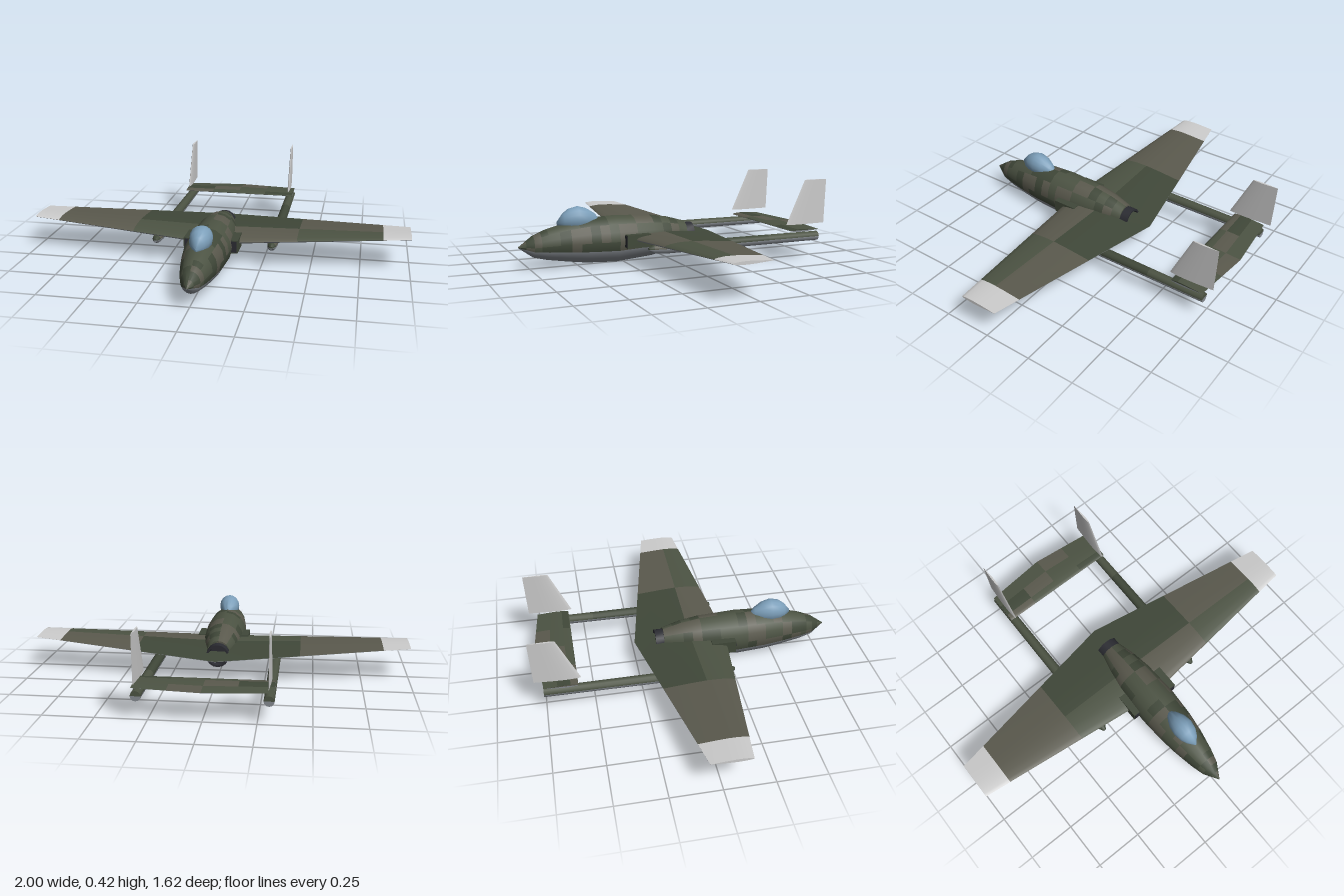
import * as THREE from 'three';
import { toCreasedNormals } from 'three/addons/utils/BufferGeometryUtils.js';

const mat = (color) => new THREE.MeshStandardMaterial({ color });
// three camouflage tones, belly grey, light panel grey
const paint = [0x4c5343, 0x404839, 0x5a594d, 0x858a90, 0xcccccc].map(mat);
const BELLY = 3, LIGHT = 4;
const dark = mat(0x2b2c32), glass = mat(0x7c9fba);

// repeatable camouflage patch choice
const patch = (a, b) => {
  const s = Math.sin(a * 12.99 + b * 78.23) * 43758.55;
  return Math.floor((s - Math.floor(s)) * 3);
};

// Skin closed rings of points; tone(station, side) picks the paint of each panel
function loft(name, rings, tone, materials = paint, crease = 0.7) {
  const n = rings[0].length, positions = [], panels = materials.map(() => []);
  rings.forEach((r) => r.forEach((p) => positions.push(...p)));
  const at = (s, i) => s * n + (i % n);
  for (let s = 0; s < rings.length - 1; s++) {
    for (let i = 0; i < n; i++) {
      const a = at(s, i), b = at(s, i + 1), c = at(s + 1, i + 1), d = at(s + 1, i);
      panels[tone(s, i)].push(a, b, c, a, c, d);
    }
  }
  // end caps
  const last = rings.length - 1;
  for (let i = 1; i < n - 1; i++) {
    panels[tone(0, i)].push(at(0, 0), at(0, i + 1), at(0, i));
    panels[tone(last - 1, i)].push(at(last, 0), at(last, i), at(last, i + 1));
  }
  const geo = new THREE.BufferGeometry();
  geo.setAttribute('position', new THREE.Float32BufferAttribute(positions, 3));
  geo.setIndex(panels.flat());
  let start = 0;
  panels.forEach((p, k) => {
    if (p.length) geo.addGroup(start, p.length, k);
    start += p.length;
  });
  const mesh = new THREE.Mesh(toCreasedNormals(geo, crease), materials);
  mesh.name = name;
  return mesh;
}

// Elliptical ring across z
function oval(z, top, bottom, halfWidth, sides) {
  return Array.from({ length: sides }, (_, i) => {
    const a = (i / sides) * Math.PI * 2;
    return [halfWidth * Math.cos(a), (top + bottom) / 2 + ((top - bottom) / 2) * Math.sin(a), z];
  });
}

// Airfoil outline as [chord z, thickness]: trailing edge, over the top, nose, underneath
const chordStops = [1, 0.8, 0.6, 0.4, 0.22, 0.08, 0.02, 0];
const halfThick = [0.02, 0.2, 0.37, 0.49, 0.47, 0.31, 0.16, 0];
function airfoil(lead, trail, thick) {
  const upper = chordStops.map((c, i) => [lead + (trail - lead) * c, halfThick[i] * thick]);
  const lower = upper.slice(0, -1).reverse().map(([z, t]) => [z, -t]);
  return [...upper, ...lower];
}
const isUpper = (i) => i < chordStops.length - 1;

function fuselage() {
  const keys = [ // z, top, bottom, half width
    [-0.1, 0.2, 0.075, 0.06], [0, 0.228, 0.048, 0.085], [0.1, 0.244, 0.024, 0.102],
    [0.3, 0.254, 0.006, 0.112], [0.45, 0.248, 0.014, 0.103], [0.55, 0.232, 0.028, 0.09],
    [0.66, 0.204, 0.046, 0.068], [0.73, 0.176, 0.064, 0.048], [0.805, 0.122, 0.118, 0.002],
  ];
  const rings = [];
  keys.slice(0, -1).forEach((k, j) => {
    const steps = j === 3 ? 3 : 2;
    for (let t = 0; t < steps; t++) {
      rings.push(oval(...k.map((v, q) => v + ((keys[j + 1][q] - v) * t) / steps), 16));
    }
  });
  rings.push(oval(...keys.at(-1), 16));
  // lower panels are grey, sides and back are camouflaged
  return loft('fuselage', rings, (s, i) => (i >= 8 && i < 15 && i !== 8 ? BELLY : patch(s, i >> 1)));
}

function canopy() {
  const keys = [
    [0.375, 0.237, 0.003], [0.405, 0.272, 0.028], [0.45, 0.3, 0.05], [0.495, 0.313, 0.057],
    [0.54, 0.302, 0.049], [0.57, 0.28, 0.033], [0.603, 0.24, 0.003],
  ];
  const rings = keys.map(([z, top, w]) => oval(z, top, 0.225 - (top - 0.23) * 0.5, w, 16));
  return loft('canopy', rings, () => 0, [glass], 1);
}

function wing() {
  const spans = [-1, -0.86, -0.43, 0, 0.43, 0.86, 1];
  const rings = spans.map((x) => {
    const f = Math.abs(x);
    return airfoil(0.24 - 0.105 * f, -0.255 + 0.19 * f, 0.056 - 0.04 * f)
      .map(([z, t]) => [x, 0.133 + 0.047 * f + t, z]);
  });
  const patches = [[], [2, 2], [1, 0], [1, 2], [2, 0]]; // [rear, front] per span panel
  return loft('wing', rings, (s, i) => {
    if (s === 0 || s === 5) return LIGHT;
    return isUpper(i) ? patches[s][i < 3 ? 0 : 1] : BELLY;
  });
}

function tailplane() {
  const spans = [-0.325, -0.16, 0, 0.16, 0.325];
  const rings = spans.map((x) =>
    airfoil(-0.583, -0.787 + 0.1 * Math.abs(x), 0.016).map(([z, t]) => [x, 0.158 + t, z]));
  return loft('tailplane', rings, (s, i) => (isUpper(i) ? patch(s + 3, i >> 1) : BELLY));
}

function boom(side) {
  const keys = [[-0.757, 0.025], [-0.45, 0.026], [-0.15, 0.027], [0.14, 0.028], [0.2, 0.022], [0.225, 0.008]];
  const rings = keys.map(([z, r]) =>
    oval(z, 0.12 + r, 0.12 - r, r, 12).map(([x, y, w]) => [x + side * 0.303, y, w]));
  return loft('tailBoom', rings, (s, i) => (i < 6 ? patch(s, side + 4) : BELLY));
}

function fin(side) {
  const rings = [[0.188, -0.565, -0.8, 0.016], [0.425, -0.675, -0.81, 0.01]].map(([y, lead, trail, thick]) =>
    airfoil(lead, trail, thick).map(([z, t]) => [side * 0.303 - t, y, z]));
  return loft('tailFin', rings, () => LIGHT);
}

function intake(side) {
  const group = new THREE.Group();
  group.name = 'airIntake';
  const duct = new THREE.Mesh(new THREE.BoxGeometry(0.055, 0.068, 0.13), paint[1]);
  duct.name = 'intakeDuct';
  duct.position.set(side * 0.112, 0.131, 0.208);
  const mouth = new THREE.Mesh(new THREE.BoxGeometry(0.046, 0.058, 0.004), dark);
  mouth.name = 'intakeMouth';
  mouth.position.set(side * 0.112, 0.131, 0.273);
  group.add(duct, mouth);
  return group;
}

function nozzle() {
  // hollow exhaust ring with a recessed back wall
  const profile = [[0, 0.03], [0.045, 0.03], [0.05, 0], [0.06, 0], [0.061, 0.06]]
    .map(([r, y]) => new THREE.Vector2(r, y));
  const geo = new THREE.LatheGeometry(profile, 16).rotateX(Math.PI / 2);
  const material = dark.clone();
  material.side = THREE.DoubleSide;
  const mesh = new THREE.Mesh(toCreasedNormals(geo, 0.6), material);
  mesh.name = 'exhaustNozzle';
  mesh.position.set(0, 0.13, -0.145);
  return mesh;
}

export function createModel() {
  const model = new THREE.Group();
  model.name = 'twinBoomJet';
  model.add(fuselage(), canopy(), wing(), tailplane(), nozzle());
  for (const side of [1, -1]) model.add(boom(side), fin(side), intake(side));
  // rest the belly on the ground
  model.children.forEach((part) => { part.position.y -= 0.006; });
  return model;
}
